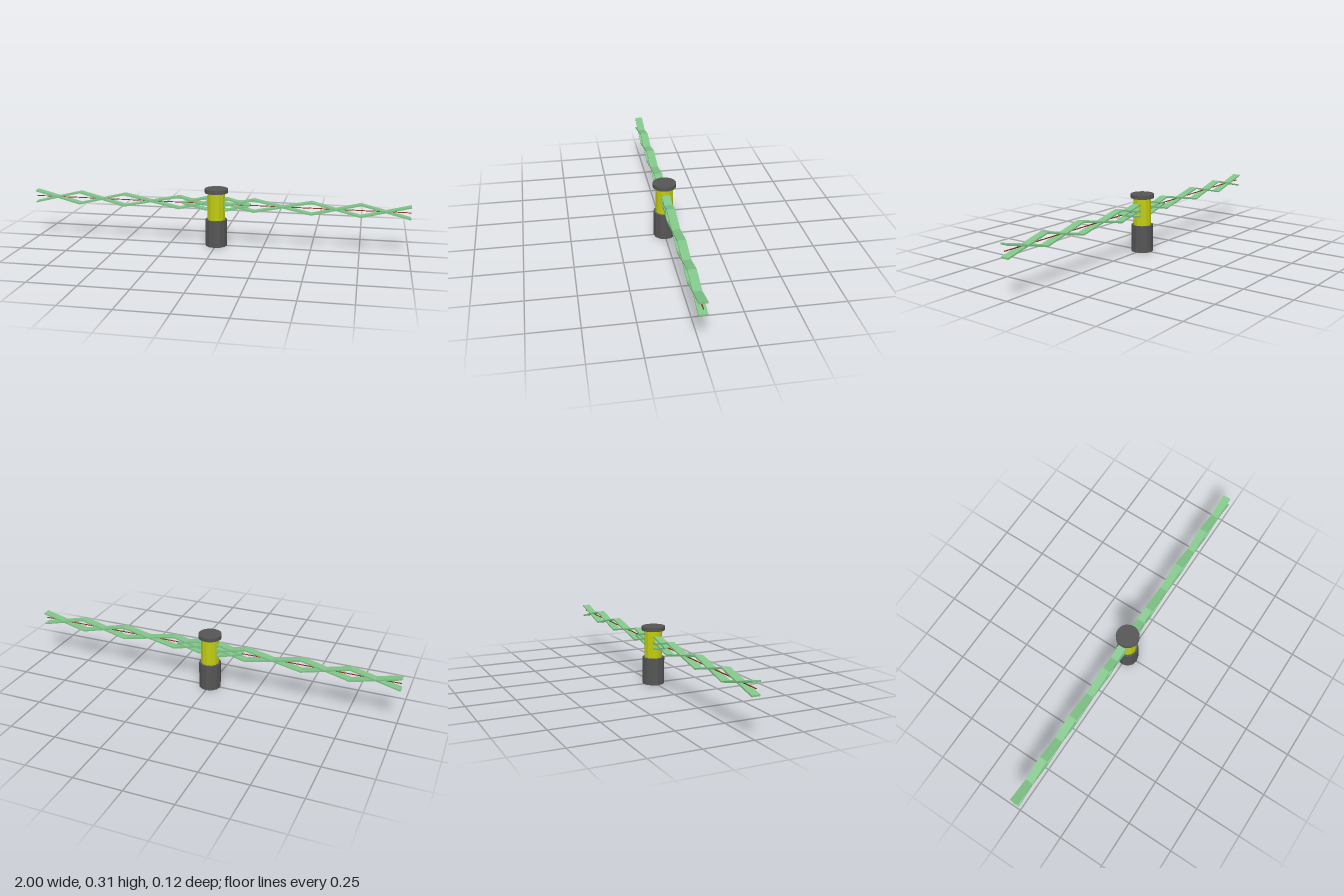
import * as THREE from 'three';

const mat = (color) => new THREE.MeshStandardMaterial({ color, flatShading: true });

export function createModel() {
  const group = new THREE.Group();
  const grey = mat(0x555555), yellow = mat(0xc0cc10), green = mat(0x80c488), red = mat(0x8c1a10);

  // Central post: stacked faceted cylinders
  function drum(name, radius, y0, y1, sides, material) {
    const mesh = new THREE.Mesh(new THREE.CylinderGeometry(radius, radius, y1 - y0, sides), material);
    mesh.position.y = (y0 + y1) / 2;
    mesh.name = name;
    group.add(mesh);
  }
  drum('base', 0.058, 0, 0.143, 12, grey);
  drum('body', 0.047, 0.143, 0.287, 12, yellow);
  drum('cap', 0.061, 0.287, 0.308, 24, grey);

  // Zigzag ribbons: [x, height as a fraction of the amplitude]
  const path = [[1, 1], [0.75, -1], [0.5, 1], [0.2, -1], [-0.055, 1], [-0.18, 0]];
  const midY = 0.226, amplitude = 0.031, half = 0.004, width = 0.042;
  for (const side of [1, -1]) {
    for (const phase of [1, -1]) {
      const line = path.map(([x, h]) => [x * side, midY + h * phase * amplitude]);
      const outline = [
        ...line.map(([x, y]) => new THREE.Vector2(x, y + half)),
        ...line.reverse().map(([x, y]) => new THREE.Vector2(x, y - half)),
      ];
      const geo = new THREE.ExtrudeGeometry(new THREE.Shape(outline), { depth: width, bevelEnabled: false });
      geo.translate(0, 0, -width / 2);
      const ribbon = new THREE.Mesh(geo, green);
      ribbon.name = (side > 0 ? 'left' : 'right') + (phase > 0 ? 'UpperRibbon' : 'LowerRibbon');
      group.add(ribbon);
    }
  }

  // Thin wire running through the ribbons
  const wire = new THREE.Mesh(new THREE.CylinderGeometry(0.0025, 0.0025, 2, 6), red);
  wire.rotation.z = Math.PI / 2;
  wire.position.y = midY;
  wire.name = 'wire';
  group.add(wire);

  return group;
}
